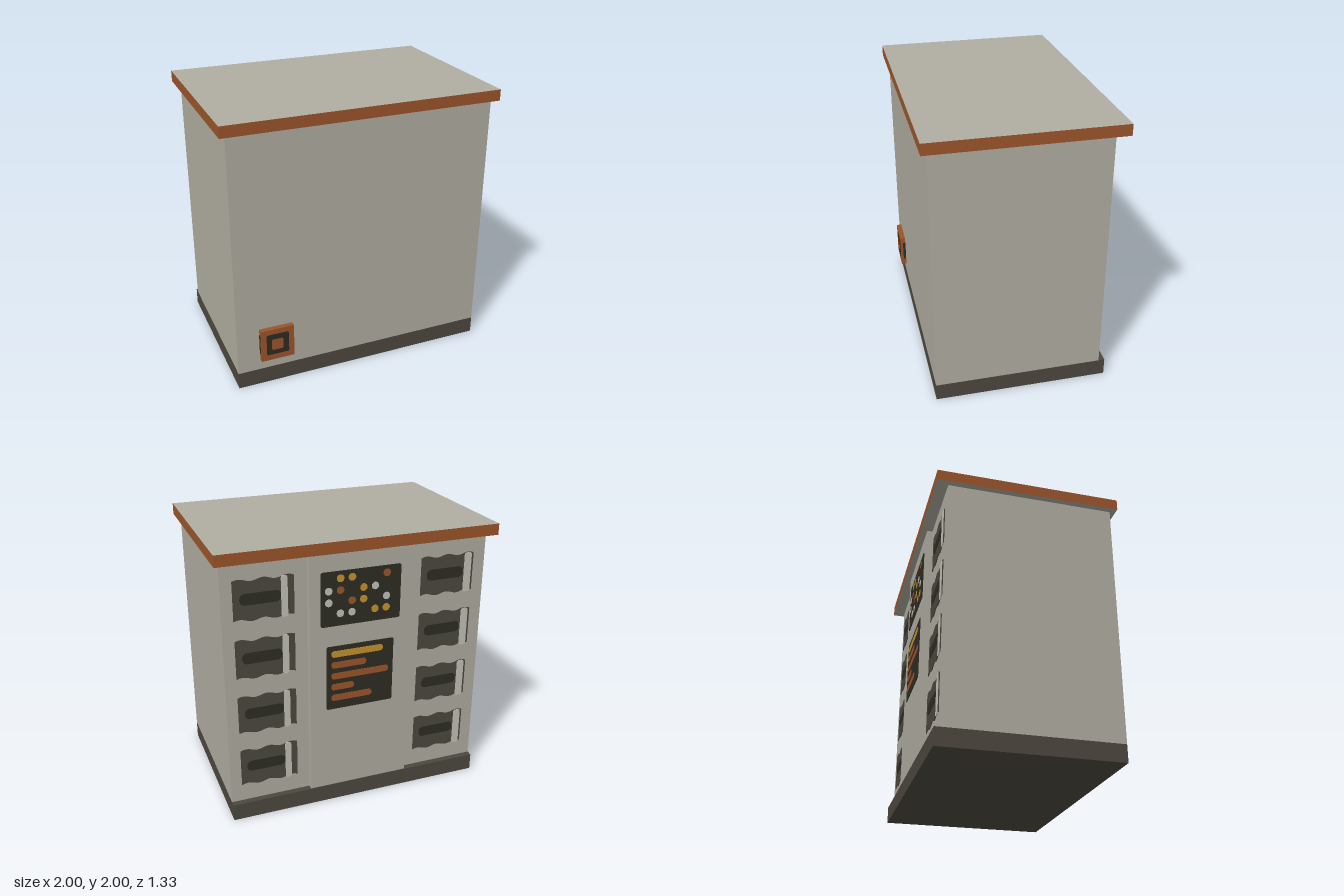
import * as THREE from 'three';

export function createModel() {
  const mat = (name, color) => {
    const m = new THREE.MeshStandardMaterial({ color });
    m.name = name;
    return m;
  };
  const casing = mat('warm grey casing', 0xb0ada1);
  const copper = mat('copper orange', 0x9c552b);
  const brown = mat('dark brown grey', 0x4d483f);
  const black = mat('near black', 0x2d2c23);
  const light = mat('light grey', 0xc4c2b8);
  const amber = mat('amber', 0xc8922c);

  const model = new THREE.Group();
  model.name = 'cabinet';

  const add = (name, geometry, material, parent = model) => {
    const mesh = new THREE.Mesh(geometry, material);
    mesh.name = name;
    parent.add(mesh);
    return mesh;
  };
  // Box given by its limits on each axis
  const box = (name, x0, x1, y0, y1, z0, z1, material, parent) => {
    const mesh = add(name, new THREE.BoxGeometry(x1 - x0, y1 - y0, z1 - z0), material, parent);
    mesh.position.set((x0 + x1) / 2, (y0 + y1) / 2, (z0 + z1) / 2);
    return mesh;
  };
  // Thin plate with rounded corners, its outer face at z0
  const roundPlate = (name, x0, x1, y0, y1, r, z0, depth, material, parent) => {
    const s = new THREE.Shape();
    s.absarc(x1 - r, y0 + r, r, -Math.PI / 2, 0);
    s.absarc(x1 - r, y1 - r, r, 0, Math.PI / 2);
    s.absarc(x0 + r, y1 - r, r, Math.PI / 2, Math.PI);
    s.absarc(x0 + r, y0 + r, r, Math.PI, Math.PI * 1.5);
    const g = new THREE.ExtrudeGeometry(s, { depth, bevelEnabled: false, curveSegments: 6 });
    const mesh = add(name, g, material, parent);
    mesh.position.z = z0;
    return mesh;
  };

  // Main carcass, plinth and lid
  box('body', -0.955, 0.955, 0.125, 1.92, -0.575, 0.625, casing);
  box('plinth', -0.955, 0.955, 0, 0.125, -0.625, 0.625, brown);
  box('lid', -1, 1, 1.92, 2, -0.667, 0.667, [copper, copper, casing, casing, copper, copper]);

  // Raised panels on the back
  box('leftColumnPanel', 0.37, 0.955, 0.125, 1.92, -0.58, -0.575, casing);
  box('rightColumnPanel', -0.955, -0.38, 0.125, 1.92, -0.58, -0.575, casing);
  box('centrePanel', -0.38, 0.37, 0.125, 1.92, -0.62, -0.575, casing);

  // Bay front with gently uneven upper and lower edges
  const baySlab = (x0, x1, y0, y1) => {
    const pts = [];
    const n = 20;
    const wave = t => 0.009 * Math.sin(t * Math.PI * 5);
    for (let i = 0; i <= n; i++) pts.push(new THREE.Vector2(x0 + (x1 - x0) * i / n, y0 + wave(i / n)));
    for (let i = n; i >= 0; i--) pts.push(new THREE.Vector2(x0 + (x1 - x0) * i / n, y1 + wave(i / n)));
    return new THREE.ExtrudeGeometry(new THREE.Shape(pts), { depth: 0.005, bevelEnabled: false });
  };
  // Two columns of four bays, each with a slot and an upright handle
  const columns = [
    { name: 'left', outer: 0.875, inner: 0.46, handle: [0.505, 0.55] },
    { name: 'right', outer: -0.462, inner: -0.865, handle: [-0.85, -0.795] },
  ];
  for (const c of columns) {
    for (let i = 0; i < 4; i++) {
      const top = 1.785 - i * 0.418;
      const bay = new THREE.Group();
      bay.name = `${c.name}Bay${i + 1}`;
      model.add(bay);
      add('bayFront', baySlab(c.inner, c.outer, top - 0.275, top), brown, bay).position.z = -0.585;
      roundPlate('baySlot', c.outer - 0.325, c.outer - 0.045, top - 0.17, top - 0.09, 0.035, -0.587, 0.004, black, bay);
      roundPlate('bayHandle', ...c.handle, top - 0.285, top + 0.005, 0.018, -0.589, 0.006, light, bay);
    }
  }

  // Indicator board: lamps on a regular grid
  roundPlate('indicatorBoard', -0.29, 0.29, 1.395, 1.785, 0.015, -0.624, 0.006, black);
  const rows = ['.aa..c', 'lc.al.', 'l.ca.l', '.ll.aa'];
  const lampColours = { a: amber, c: copper, l: light };
  rows.forEach((row, j) => [...row].forEach((key, i) => {
    if (key === '.') return;
    const lamp = add('lamp', new THREE.CylinderGeometry(0.027, 0.027, 0.004, 14), lampColours[key]);
    lamp.rotation.x = Math.PI / 2;
    lamp.position.set(0.235 - i * 0.084, 1.733 - j * 0.083, -0.625);
  }));

  // Screen with one heading bar and four lines of differing length
  roundPlate('screen', -0.25, 0.25, 0.76, 1.245, 0.015, -0.624, 0.006, black);
  [-0.17, -0.045, -0.215, 0.045, -0.09].forEach((end, i) => {
    const y = 1.185 - i * 0.084;
    roundPlate('screenBar', end, 0.215, y - 0.024, y + 0.024, 0.022, -0.627, 0.004, i ? copper : amber);
  });

  // Square outlet on the front
  box('outletBlock', -0.79, -0.545, 0.21, 0.46, 0.62, 0.663, copper);
  roundPlate('outletRing', -0.75, -0.585, 0.255, 0.42, 0.01, 0.661, 0.004, black);
  roundPlate('outletCentre', -0.712, -0.627, 0.293, 0.378, 0.012, 0.663, 0.004, copper);
  for (const x of [-0.79, -0.545]) {
    box('outletSideMark', x - 0.002, x + 0.002, 0.265, 0.415, 0.625, 0.645, black);
  }

  return model;
}
